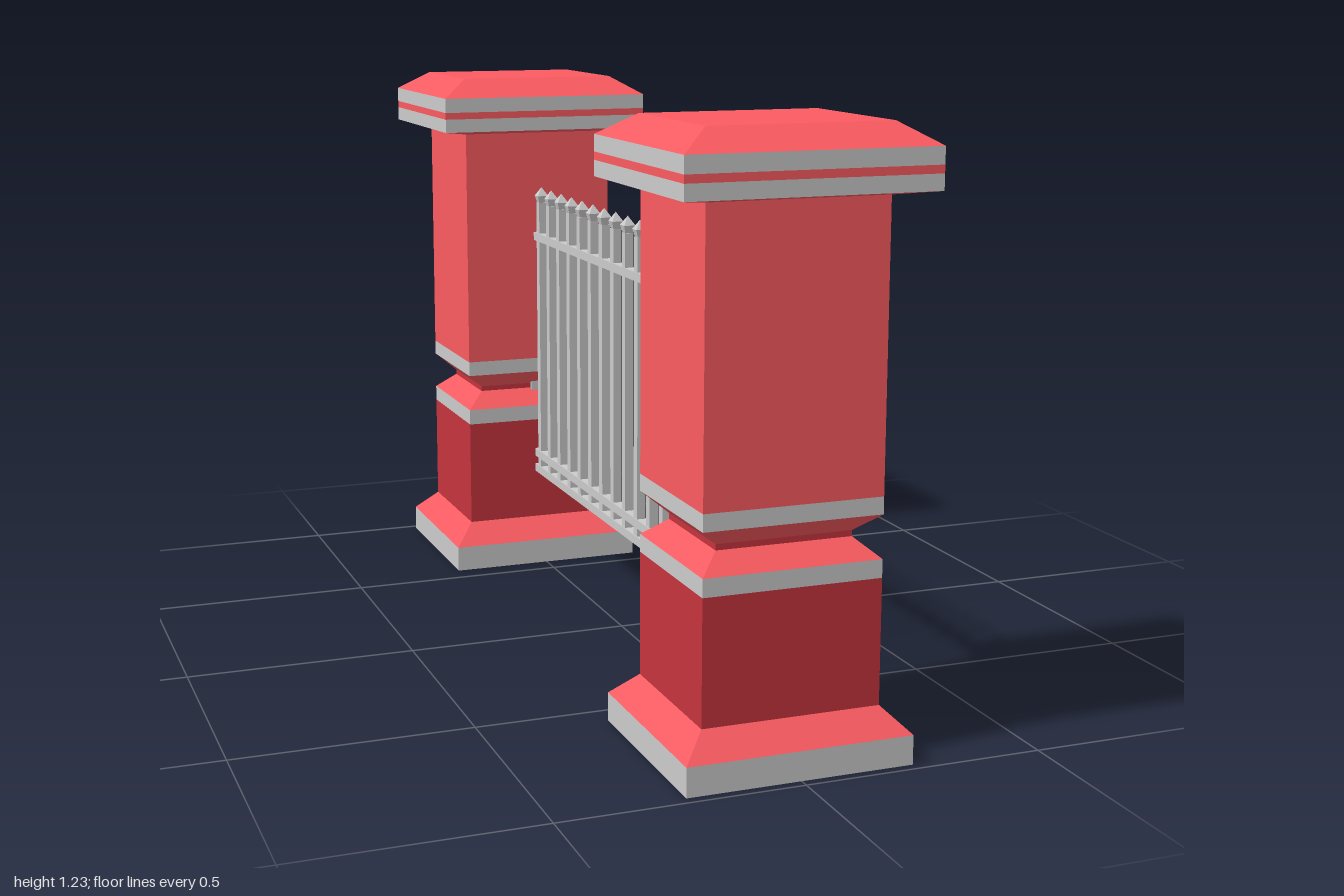
import * as THREE from 'three';
import { mergeGeometries } from 'three/addons/utils/BufferGeometryUtils.js';

const grey = new THREE.MeshStandardMaterial({ color: 0xcccccc });
const lightRed = new THREE.MeshStandardMaterial({ color: 0xfc5b61 });
const darkRed = new THREE.MeshStandardMaterial({ color: 0xc6343d });

const HALF_X = 0.185, HALF_Z = 0.162, PILLAR_Z = 0.773;

// Rectangular layer whose outline is offset from the shaft by d0 (bottom) and d1 (top)
function layerGeometry(y0, y1, d0, d1) {
  const geometry = new THREE.BoxGeometry(1, 1, 1);
  const p = geometry.attributes.position;
  for (let i = 0; i < p.count; i++) {
    const top = p.getY(i) > 0;
    const d = top ? d1 : d0;
    p.setXYZ(i, Math.sign(p.getX(i)) * (HALF_X + d), top ? y1 : y0, Math.sign(p.getZ(i)) * (HALF_Z + d));
  }
  geometry.computeVertexNormals();
  return geometry;
}

// name, material, bottom y, top y, bottom offset, top offset
const LAYERS = [
  ['plinth', grey, 0, 0.06, 0.05, 0.05],
  ['plinthSlope', lightRed, 0.06, 0.11, 0.05, 0],
  ['lowerShaft', darkRed, 0.11, 0.365, 0, 0],
  ['lowerBand', grey, 0.365, 0.402, 0, 0],
  ['neckLowerSlope', lightRed, 0.402, 0.44, 0, -0.044],
  ['neck', darkRed, 0.44, 0.452, -0.044, -0.044],
  ['neckUpperSlope', lightRed, 0.452, 0.49, -0.044, 0],
  ['upperBand', grey, 0.49, 0.525, 0, 0],
  ['upperShaft', lightRed, 0.525, 1.097, 0, 0],
  ['capUnderside', lightRed, 1.097, 1.108, 0, 0.07],
  ['capLowerBand', grey, 1.108, 1.14, 0.07, 0.07],
  ['capStripe', lightRed, 1.14, 1.156, 0.07, 0.07],
  ['capUpperBand', grey, 1.156, 1.19, 0.07, 0.07],
  ['capSlope', lightRed, 1.19, 1.233, 0.07, 0.003],
];

function createPillar(name, z) {
  const pillar = new THREE.Group();
  pillar.name = name;
  for (const [part, material, ...dims] of LAYERS) {
    const mesh = new THREE.Mesh(layerGeometry(...dims), material);
    mesh.name = part;
    pillar.add(mesh);
  }
  pillar.position.z = z;
  return pillar;
}

// Square bar with a small pointed finial on top
function picketGeometry() {
  const bar = new THREE.BoxGeometry(0.02, 0.68, 0.022).translate(0, 0.585, 0);
  const profile = [[0.011, 0.92], [0.019, 0.942], [0, 0.963]].map(([r, y]) => new THREE.Vector2(r, y));
  const finial = new THREE.LatheGeometry(profile, 4).rotateY(Math.PI / 4).toNonIndexed();
  finial.computeVertexNormals();
  return mergeGeometries([bar.toNonIndexed(), finial]);
}

function createFence() {
  const fence = new THREE.Group();
  fence.name = 'fence';
  // Rails
  for (const [name, y] of [['bottomRail', 0.24], ['lowerRail', 0.28], ['topRail', 0.838]]) {
    const rail = new THREE.Mesh(new THREE.BoxGeometry(0.024, 0.02, 1.25), grey);
    rail.name = name;
    rail.position.y = y;
    fence.add(rail);
  }
  // Pickets, the outermost pair partly sunk into the pillars
  const geometry = picketGeometry();
  const count = 18, spacing = 0.077;
  for (let i = 0; i < count; i++) {
    const picket = new THREE.Mesh(geometry, grey);
    picket.name = 'picket';
    picket.position.z = (i - (count - 1) / 2) * spacing;
    fence.add(picket);
  }
  return fence;
}

export function createModel() {
  const model = new THREE.Group();
  model.name = 'fenceWithPillars';
  model.add(createPillar('frontPillar', PILLAR_Z - 0.005), createPillar('backPillar', -PILLAR_Z + 0.005), createFence());
  return model;
}
